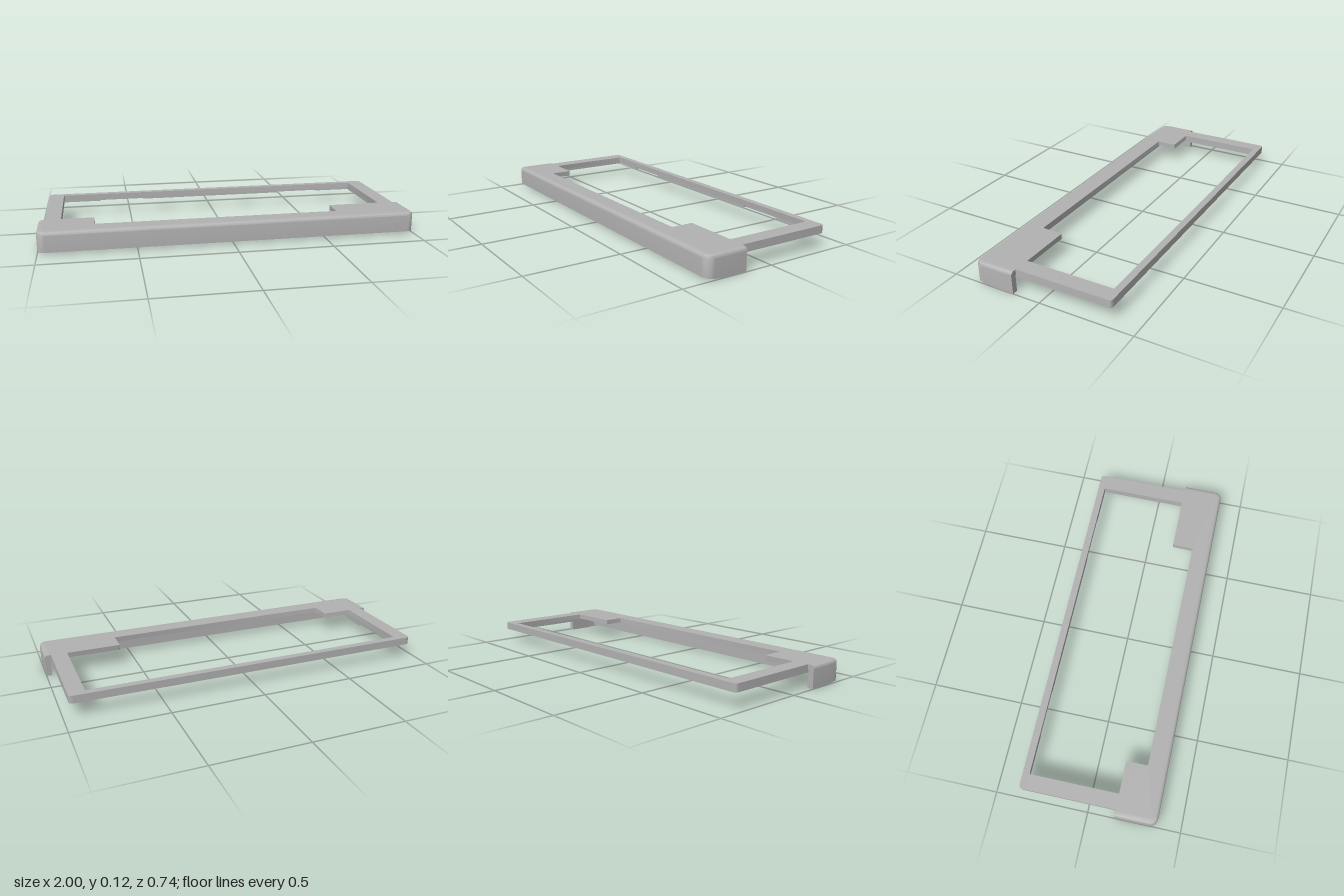
import * as THREE from 'three';
import { toCreasedNormals } from 'three/addons/utils/BufferGeometryUtils.js';

const TOP = 0.118, LIP = 0.09, RAIL = 0.077; // heights: top face, underside of plate, underside of rails
const WALL = 0.03, CORNER = 0.04, FRONT = 0.37, WALL_BACK = 0.15;

// Extrudes a plan outline (x, z) downwards from yTop to yBottom
function slab(shape, yTop, yBottom) {
  const g = new THREE.ExtrudeGeometry(shape, { depth: yTop - yBottom, bevelEnabled: false, curveSegments: 8 });
  g.rotateX(Math.PI / 2);
  g.translate(0, yTop, 0);
  return toCreasedNormals(g, 0.6);
}

const polygon = pts => new THREE.Shape(pts.map(p => new THREE.Vector2(p[0], p[1])));

// Closed outline whose corners are rounded by the third number of each point
function rounded(pts, Type = THREE.Shape) {
  const s = new Type(), n = pts.length;
  pts.forEach(([x, z, r = 0], i) => {
    const p = new THREE.Vector2(x, z);
    const toward = q => p.clone().add(new THREE.Vector2(q[0] - x, q[1] - z).setLength(r));
    const a = r ? toward(pts[(i + n - 1) % n]) : p;
    if (i === 0) s.moveTo(a.x, a.y); else s.lineTo(a.x, a.y);
    if (r) {
      const b = toward(pts[(i + 1) % n]);
      s.quadraticCurveTo(x, z, b.x, b.y);
    }
  });
  s.closePath();
  return s;
}

// U-shaped skirt: a wall section with a rounded top edge swept round the front
function skirtGeometry() {
  const path = [[1, WALL_BACK, 1, 0], [1, 0.27, 1, 0]]; // x, z, outward x, outward z
  for (const side of [1, -1]) {
    for (let i = 0; i <= 8; i++) {
      const a = (side > 0 ? i : 8 - i) / 8 * Math.PI / 2;
      const ox = side * Math.cos(a), oz = Math.sin(a);
      path.push([side * (1 - CORNER) + CORNER * ox, FRONT - CORNER + CORNER * oz, ox, oz]);
    }
  }
  path.push([-1, 0.27, -1, 0], [-1, WALL_BACK, -1, 0]);

  const r = 0.018, section = [[0, null]]; // inward offset, height (null = sloping lower edge)
  for (let i = 0; i <= 6; i++) {
    const a = i / 6 * Math.PI / 2;
    section.push([r - r * Math.cos(a), TOP - r + r * Math.sin(a)]);
  }
  section.push([WALL, TOP], [WALL, null]);

  const pos = [], idx = [], m = section.length;
  for (const [x, z, ox, oz] of path) {
    for (const [d, y] of section) {
      const pz = z - oz * d;
      pos.push(x - ox * d, y ?? Math.max(0, (pz - 0.27) * 0.125), pz);
    }
  }
  for (let i = 0; i < path.length - 1; i++) {
    for (let j = 0; j < m; j++) {
      const k = (j + 1) % m, a = i * m + j, d = i * m + k;
      idx.push(a, d, a + m, a + m, d, d + m);
    }
  }
  const end = (path.length - 1) * m;
  for (let j = 1; j < m - 1; j++) idx.push(0, j + 1, j, end, end + j, end + j + 1);

  const g = new THREE.BufferGeometry();
  g.setAttribute('position', new THREE.Float32BufferAttribute(pos, 3));
  g.setIndex(idx);
  return toCreasedNormals(g.toNonIndexed(), 0.6);
}

export function createModel() {
  const model = new THREE.Group();
  model.name = 'bezelFrame';
  const grey = new THREE.MeshStandardMaterial({ color: 0xb2b2b2 });
  grey.name = 'grey plastic';
  const add = (name, geometry) => {
    const mesh = new THREE.Mesh(geometry, grey);
    mesh.name = name;
    model.add(mesh);
  };

  // Top plate with its stepped window and two unequal front tabs
  const innerFront = FRONT - WALL, innerSide = 1 - WALL;
  const plate = rounded([
    [-0.966, -0.37, 0.02], [0.966, -0.37, 0.02], [0.966, WALL_BACK], [innerSide, WALL_BACK],
    [innerSide, innerFront, 0.01], [-innerSide, innerFront, 0.01], [-innerSide, WALL_BACK], [-0.966, WALL_BACK],
  ]);
  plate.holes.push(rounded([
    [-0.884, -0.333, 0.005], [0.88, -0.333, 0.005], [0.88, 0.146, 0.003], [0.59, 0.146, 0.008],
    [0.59, 0.263, 0.008], [-0.71, 0.263, 0.008], [-0.71, 0.146, 0.008], [-0.884, 0.146, 0.003],
  ], THREE.Path));
  add('topPlate', slab(plate, TOP, LIP));

  // Lower rails on three sides, with two shallow notches in the rear rail and four screw holes
  const rails = rounded([
    [-0.966, -0.37, 0.02], [0.966, -0.37, 0.02], [0.966, 0.25], [0.88, 0.25], [0.88, -0.333],
    [0.67, -0.333], [0.67, -0.35], [0.42, -0.35], [0.42, -0.333],
    [-0.42, -0.333], [-0.42, -0.35], [-0.67, -0.35], [-0.67, -0.333],
    [-0.884, -0.333], [-0.884, 0.25], [-0.966, 0.25],
  ]);
  for (const x of [-0.925, 0.925]) {
    for (const z of [-0.33, 0.2]) {
      const hole = new THREE.Path();
      hole.absarc(x, z, 0.011, 0, Math.PI * 2, true);
      rails.holes.push(hole);
    }
  }
  add('lowerRails', slab(rails, LIP, RAIL));

  // Front and side skirt
  add('frontSkirt', skirtGeometry());
  return model;
}
